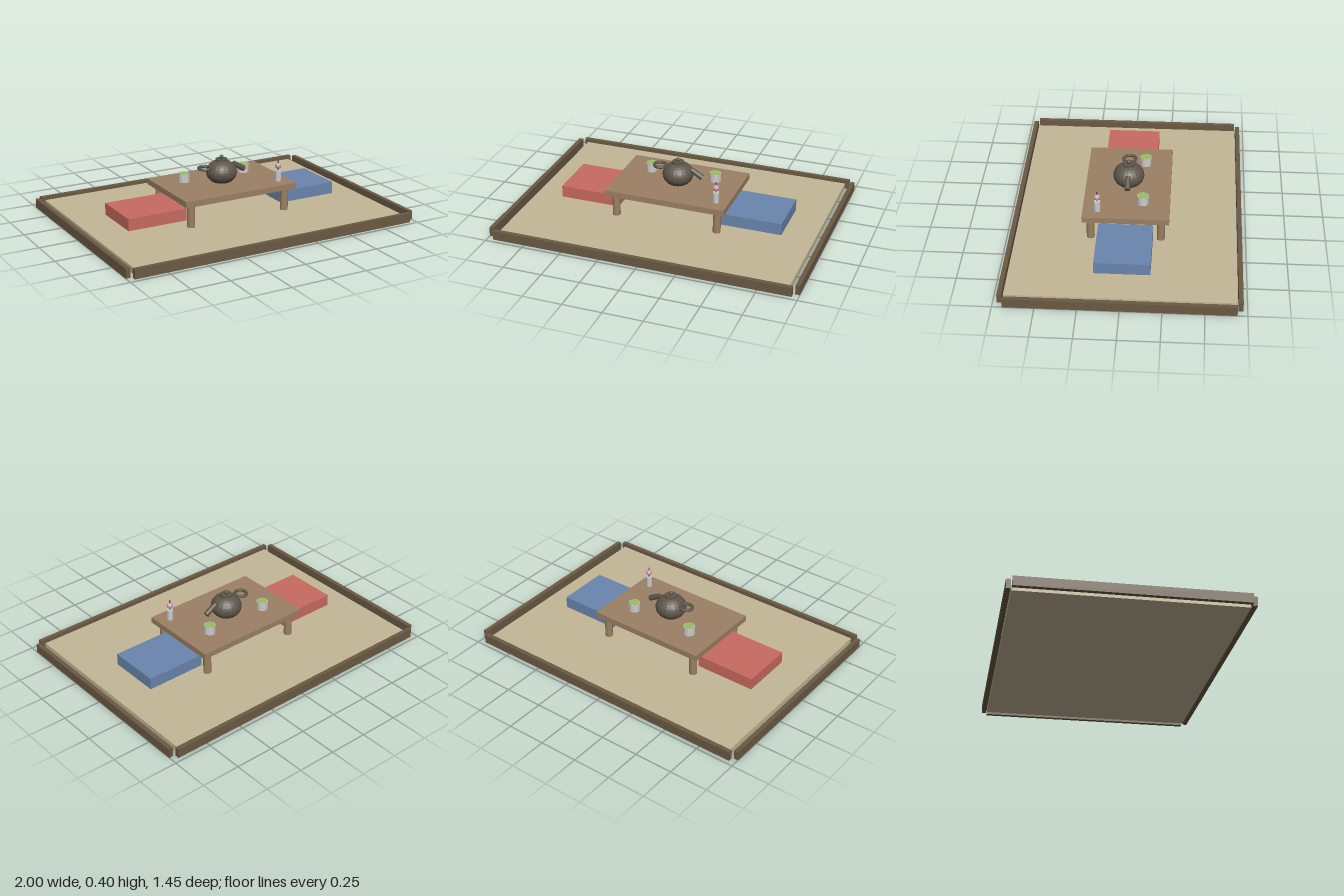
import * as THREE from 'three';

const material = (color) => new THREE.MeshStandardMaterial({ color, flatShading: true });
const frameWood = material(0x6b5a43);
const straw = material(0xc4b797);
const tableWood = material(0x9b8064);
const iron = material(0x5e564a);
const china = material(0xcccccc);
const tea = material(0x9dbb6a);
const red = material(0xc96a60);
const blue = material(0x6a86ae);
const pink = material(0xd79ab8);
const green = material(0x4f5f3c);

export function createModel() {
  const root = new THREE.Group();

  function add(parent, name, geometry, mat, x, y, z) {
    const mesh = new THREE.Mesh(geometry, mat);
    mesh.name = name;
    mesh.position.set(x, y, z);
    parent.add(mesh);
    return mesh;
  }
  function group(name) {
    const g = new THREE.Group();
    g.name = name;
    root.add(g);
    return g;
  }
  const box = (w, h, d) => new THREE.BoxGeometry(w, h, d);
  const cylinder = (top, bottom, h, sides = 16) => new THREE.CylinderGeometry(top, bottom, h, sides);

  // Mat and the four separate border boards
  add(root, 'floorMat', box(1.87, 0.04, 1.38), straw, 0, 0.02, 0);
  const border = group('border');
  for (const s of [-1, 1]) {
    add(border, s > 0 ? 'frontBoard' : 'backBoard', box(1.92, 0.06, 0.028), frameWood, 0, 0.03, s * 0.71);
    add(border, s > 0 ? 'leftBoard' : 'rightBoard', box(0.028, 0.06, 1.38), frameWood, s * 0.986, 0.03, 0);
  }

  // Low table
  const table = group('table');
  add(table, 'tableTop', box(0.788, 0.038, 0.54), tableWood, 0, 0.204, 0);
  for (const x of [-0.336, 0.336])
    for (const z of [-0.219, 0.219])
      add(table, 'tableLeg', cylinder(0.025, 0.025, 0.186), tableWood, x, 0.094, z);

  // Seat cushions
  add(root, 'rightCushion', box(0.395, 0.077, 0.342), red, -0.54, 0.106, 0);
  add(root, 'leftCushion', box(0.395, 0.077, 0.342), blue, 0.54, 0.106, 0);

  // Teapot: squashed body, lid, knob, slanted spout and flat ring handle
  const teapot = group('teapot');
  add(teapot, 'teapotBody', new THREE.SphereGeometry(0.099, 20, 16), iron, 0, 0.284, 0).scale.y = 0.8;
  add(teapot, 'teapotLid', cylinder(0.038, 0.038, 0.02, 20), iron, 0, 0.361, 0);
  add(teapot, 'lidKnob', new THREE.SphereGeometry(0.014, 12, 8), iron, 0, 0.381, 0);
  const spout = add(teapot, 'spout', cylinder(0.016, 0.019, 0.09), iron, 0.126, 0.304, 0);
  spout.rotation.z = 1.03;
  const handle = add(teapot, 'handle', new THREE.TorusGeometry(0.039, 0.01, 8, 20), iron, -0.12, 0.325, 0);
  handle.rotation.x = Math.PI / 2;

  // Filled cups
  for (const x of [-0.217, 0.217]) {
    const cup = group(x > 0 ? 'leftCup' : 'rightCup');
    add(cup, 'cupBody', cylinder(0.037, 0.037, 0.056), china, x, 0.25, -0.1);
    add(cup, 'teaSurface', cylinder(0.034, 0.034, 0.004), tea, x, 0.278, -0.1);
  }

  // Small vase with one flower
  const vase = group('vase');
  add(vase, 'vaseBody', cylinder(0.02, 0.02, 0.071, 12), china, 0.314, 0.258, 0.178);
  add(vase, 'flowerStem', cylinder(0.004, 0.004, 0.1, 8), green, 0.314, 0.312, 0.178);
  add(vase, 'flowerHead', new THREE.SphereGeometry(0.02, 10, 8), pink, 0.314, 0.324, 0.178);

  return root;
}
